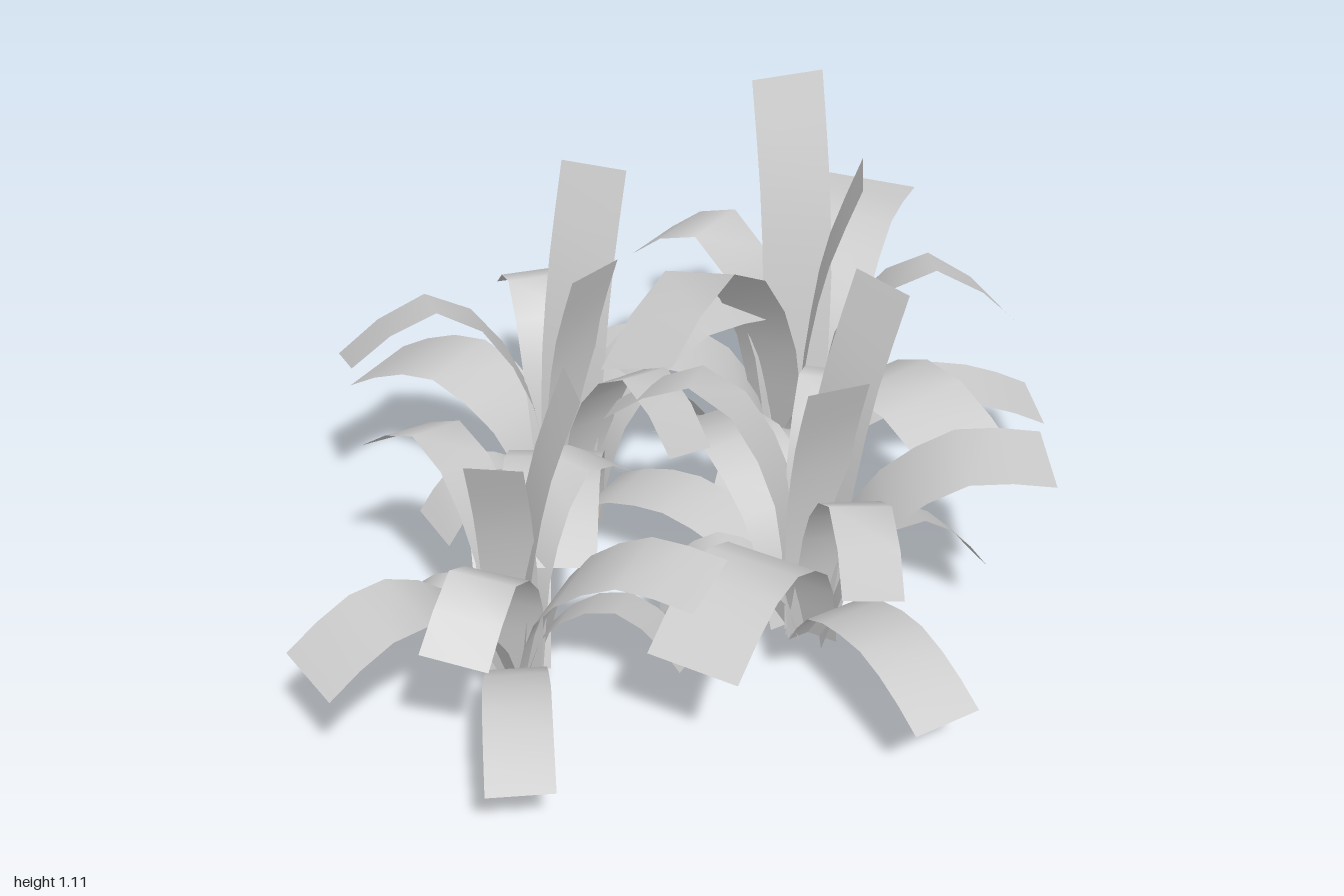
import * as THREE from 'three';

const SEGMENTS = 8;
const FLAT = [0, 0];

// Ribbon leaf growing along +x: profile is a list of [reach, height].
// shift moves the tip sideways, curl bows the leaf sideways, and
// baseEdge / tipEdge tilt the cross edge by [reach, height] per half width.
function leafGeometry({ profile, width, shift = 0, curl = 0, baseEdge = FLAT, tipEdge = FLAT }) {
  const curve = new THREE.CatmullRomCurve3(profile.map(([r, y]) => new THREE.Vector3(r, y, 0)));
  const positions = [], index = [];
  for (let i = 0; i <= SEGMENTS; i++) {
    const t = i / SEGMENTS;
    const p = curve.getPointAt(t);
    const side = shift * t + curl * (t * t - t);
    const half = 0.5 * width * (0.82 + 0.18 * Math.min(1, t / 0.5));
    const dx = half * THREE.MathUtils.lerp(baseEdge[0], tipEdge[0], t);
    const dy = half * THREE.MathUtils.lerp(baseEdge[1], tipEdge[1], t);
    positions.push(p.x - dx, p.y - dy, side - half, p.x + dx, p.y + dy, side + half);
    if (i < SEGMENTS) {
      const a = i * 2;
      index.push(a, a + 1, a + 2, a + 1, a + 3, a + 2);
    }
  }
  const geometry = new THREE.BufferGeometry();
  geometry.setAttribute('position', new THREE.Float32BufferAttribute(positions, 3));
  geometry.setIndex(index);
  geometry.computeVertexNormals();
  return geometry;
}

// Arched leaf: rises steeply, peaks, then droops to its tip
const arch = (peakR, peakY, endR, endY, baseY = 0) => [
  [0.03, baseY],
  [peakR * 0.38, peakY * 0.68],
  [peakR, peakY],
  [peakR + (endR - peakR) * 0.55, peakY - (peakY - endY) * 0.35],
  [endR, endY],
];

// Leaves of one plant; angle in degrees, turning from +x towards +z
const LEAVES = [
  // upright
  { name: 'tallLeaf', angle: 0, width: 0.19, shift: 0.035, profile: [[0, 0], [0.03, 0.4], [0.1, 0.78], [0.2, 1.07]] },
  { name: 'shortUprightLeaf', angle: 113, width: 0.17, profile: [[0, 0], [0.02, 0.35], [0.07, 0.66], [0.15, 0.9]] },
  // high tier
  { name: 'highLeaf', angle: -117, width: 0.2, curl: -0.12, tipEdge: [0.22, -0.38], profile: arch(0.31, 0.75, 0.59, 0.6) },
  { name: 'highLeaf', angle: 119, width: 0.18, curl: 0.14, tipEdge: [0.24, 0.4], profile: arch(0.32, 0.66, 0.55, 0.53) },
  { name: 'highLeaf', angle: -35, width: 0.18, profile: arch(0.26, 0.67, 0.47, 0.55) },
  // middle tier
  { name: 'middleLeaf', angle: -78, width: 0.25, profile: arch(0.36, 0.43, 0.68, 0.3) },
  { name: 'middleLeaf', angle: 161, width: 0.26, profile: arch(0.38, 0.48, 0.68, 0.36) },
  { name: 'middleLeaf', angle: 40, width: 0.26, profile: arch(0.42, 0.58, 0.64, 0.56) },
  // low tier
  { name: 'lowLeaf', angle: 102, width: 0.2, profile: arch(0.38, 0.24, 0.66, 0.15) },
  { name: 'lowLeaf', angle: 22, width: 0.2, curl: 0.12, baseEdge: [0, 0.42], tipEdge: [-0.2, 0.42], profile: arch(0.3, 0.3, 0.53, 0.1, -0.01) },
  { name: 'lowLeaf', angle: -141, width: 0.19, profile: arch(0.25, 0.27, 0.42, 0.13) },
];

// Each plant is the same clump, turned and scaled
const PLANTS = [
  { name: 'backLeftPlant', x: 0.27, y: 0.05, z: -0.36, angle: -107, scale: 1 },
  { name: 'frontLeftPlant', x: 0.25, y: 0.06, z: 0.31, angle: -40, scale: 0.86 },
  { name: 'backRightPlant', x: -0.34, y: 0.07, z: -0.13, angle: -68, scale: 0.89 },
  { name: 'frontRightPlant', x: -0.45, y: 0.08, z: 0.495, angle: -15, scale: 0.765 },
];

export function createModel() {
  const leafGrey = new THREE.MeshStandardMaterial({ color: 0xcccccc, side: THREE.DoubleSide });
  leafGrey.name = 'leafGrey';

  const model = new THREE.Group();
  model.name = 'leafyPlants';
  const geometries = LEAVES.map(leafGeometry);

  for (const { name, x, y, z, angle, scale } of PLANTS) {
    const plant = new THREE.Group();
    plant.name = name;
    plant.position.set(x, y, z);
    plant.rotation.y = -THREE.MathUtils.degToRad(angle);
    plant.scale.setScalar(scale);
    LEAVES.forEach((leaf, i) => {
      const mesh = new THREE.Mesh(geometries[i], leafGrey);
      mesh.name = leaf.name;
      mesh.rotation.y = -THREE.MathUtils.degToRad(leaf.angle);
      plant.add(mesh);
    });
    model.add(plant);
  }
  return model;
}
